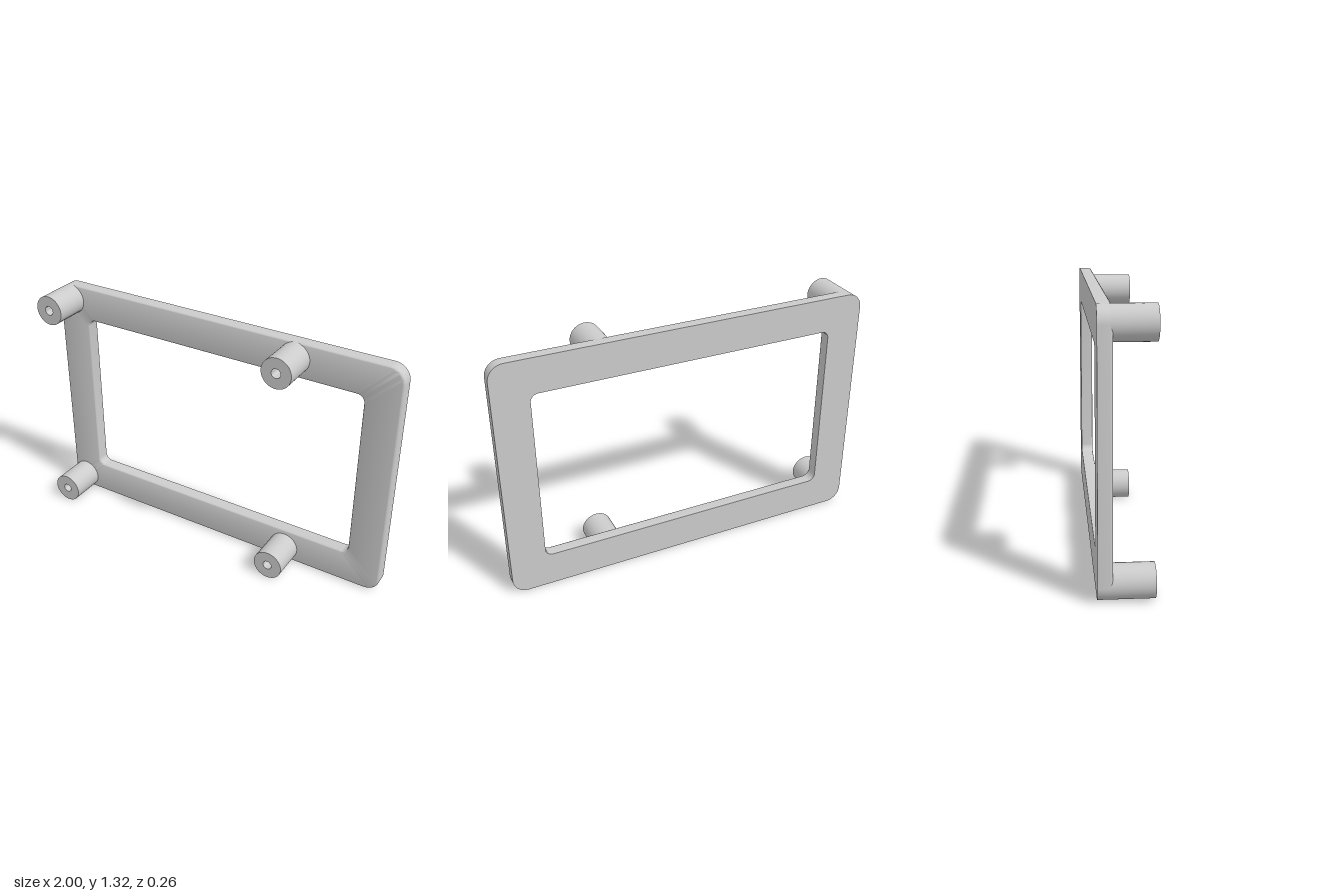
import * as THREE from 'three';
import { toCreasedNormals } from 'three/addons/utils/BufferGeometryUtils.js';

const HEIGHT = 1.317, BACK = -0.13, FACE = -0.062, FRONT = 0.13;
const CENTER_Y = HEIGHT / 2;
const STEPS = 12; // segments per rounded corner

// Counter-clockwise rounded rectangle at depth z
function roundedRing(halfW, halfH, radius, z) {
  const points = [];
  const corners = [[1, 1], [-1, 1], [-1, -1], [1, -1]];
  corners.forEach(([sx, sy], q) => {
    for (let i = 0; i <= STEPS; i++) {
      const a = (q + i / STEPS) * Math.PI / 2;
      points.push([
        sx * (halfW - radius) + radius * Math.cos(a),
        CENTER_Y + sy * (halfH - radius) + radius * Math.sin(a),
        z,
      ]);
    }
  });
  return points;
}

// Frame plate: rings run up the outside, over the eased front edges, down the opening
function frameGeometry() {
  const ease = 0.012, arcSteps = 4;
  const outer = (d, z) => roundedRing(1 - d, CENTER_Y - d, 0.081 - d, z);
  const inner = (d, z) => roundedRing(0.813 + d, 0.473 + d, 0.04 + d, z);
  const fillet = [];
  for (let i = 0; i <= arcSteps; i++) {
    const a = i / arcSteps * Math.PI / 2;
    fillet.push([ease * (1 - Math.cos(a)), FACE - ease * (1 - Math.sin(a))]);
  }
  const rings = [
    outer(0, BACK),
    ...fillet.map(([d, z]) => outer(d, z)),
    ...fillet.slice().reverse().map(([d, z]) => inner(d, z)),
    inner(0, BACK),
  ];
  const n = rings[0].length, index = [];
  for (let r = 0; r < rings.length; r++) {
    const s = (r + 1) % rings.length;
    for (let i = 0; i < n; i++) {
      const j = (i + 1) % n;
      const a = r * n + i, b = r * n + j, c = s * n + j, d = s * n + i;
      index.push(a, b, c, a, c, d);
    }
  }
  const geometry = new THREE.BufferGeometry();
  geometry.setAttribute('position', new THREE.Float32BufferAttribute(rings.flat(2), 3));
  geometry.setIndex(index);
  return toCreasedNormals(geometry, 0.7);
}

// Round standoff with a blind screw hole in its front end
function standoffGeometry() {
  const profile = [
    [0, BACK + 0.002], [0.081, BACK + 0.002], [0.081, FRONT],
    [0.025, FRONT], [0.025, FACE + 0.03], [0, FACE + 0.03],
  ].map(([r, y]) => new THREE.Vector2(r, y));
  const geometry = new THREE.LatheGeometry(profile, 48);
  geometry.rotateX(Math.PI / 2);
  return toCreasedNormals(geometry, 0.7);
}

export function createModel() {
  const model = new THREE.Group();
  model.name = 'mountingFrame';
  const material = new THREE.MeshStandardMaterial({ color: 0xcccccc });

  const frame = new THREE.Mesh(frameGeometry(), material);
  frame.name = 'framePlate';
  model.add(frame);

  // Four standoffs: two at the right-hand corners, two along the rails
  const geometry = standoffGeometry();
  for (const [column, x] of [['corner', -0.919], ['rail', 0.443]]) {
    for (const [row, y] of [['Lower', 0.081], ['Upper', HEIGHT - 0.081]]) {
      const standoff = new THREE.Mesh(geometry, material);
      standoff.name = `${column}${row}Standoff`;
      standoff.position.set(x, y, 0);
      model.add(standoff);
    }
  }
  return model;
}
